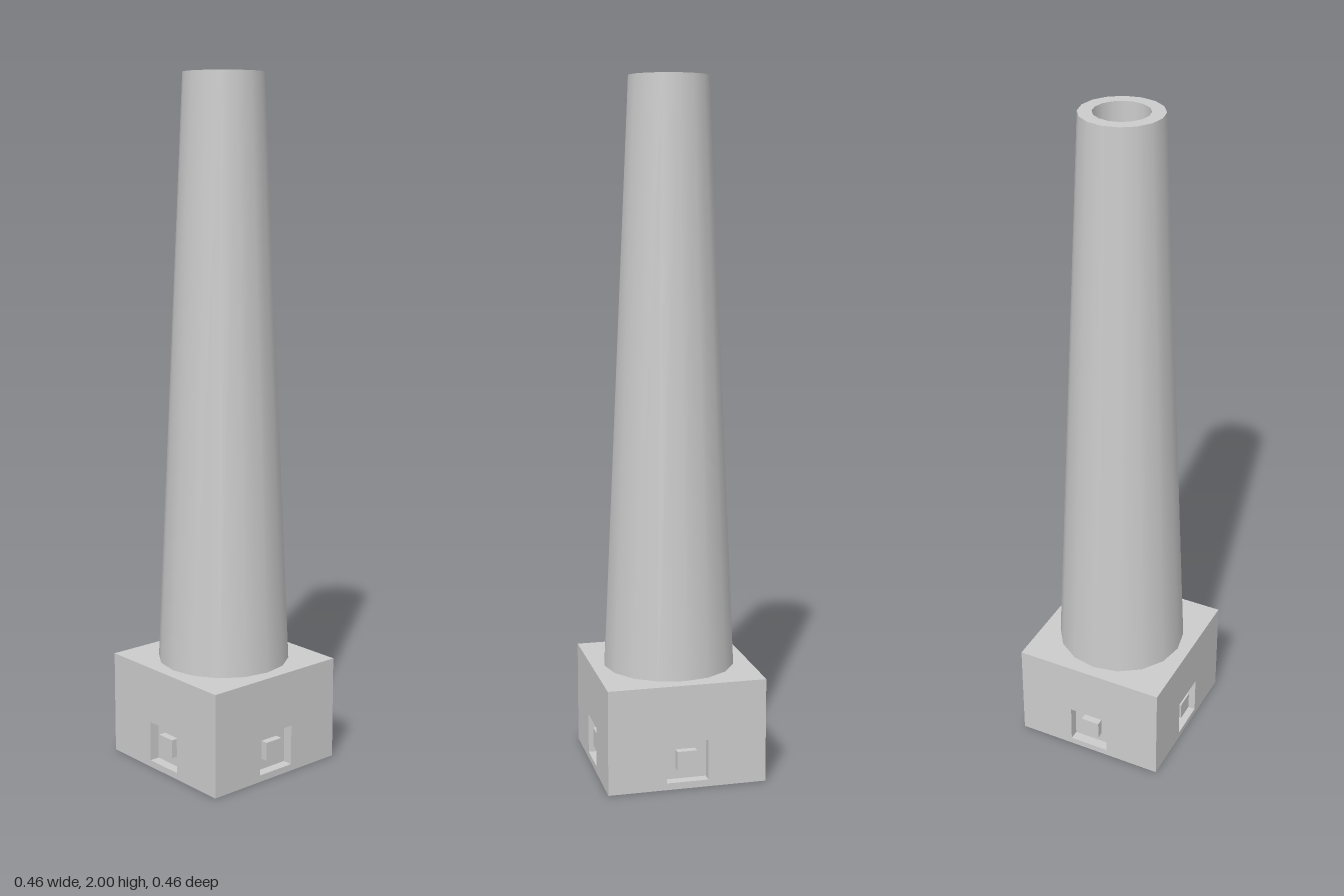
import * as THREE from 'three';

const SIDES = 16;
const BASE = 0.462, BASE_H = 0.305, RECESS = 0.03;
const TOP_R = 0.115, BOTTOM_R = 0.193, BORE_R = 0.077, BORE_DEPTH = 0.5;

export function createModel() {
  const model = new THREE.Group();
  model.name = 'chimney';
  const grey = new THREE.MeshStandardMaterial({ color: 0xcccccc });
  const inward = new THREE.MeshStandardMaterial({ color: 0xcccccc, side: THREE.BackSide });

  const add = (parent, name, geometry, material = grey) => {
    const mesh = new THREE.Mesh(geometry, material);
    mesh.name = name;
    parent.add(mesh);
    return mesh;
  };

  // Plinth core; its sides are the floors of the recesses
  const core = BASE - 2 * RECESS;
  add(model, 'plinthCore', new THREE.BoxGeometry(core, BASE_H, core)).position.y = BASE_H / 2;

  // Four plinth walls, each with a square recess and a small block in it
  for (let i = 0; i < 4; i++) {
    const side = new THREE.Group();
    side.name = 'plinthSide';
    side.rotation.y = i * Math.PI / 2;
    const w = (i % 2 ? core : BASE) / 2;
    const wall = new THREE.Shape([[-w, 0], [w, 0], [w, BASE_H], [-w, BASE_H]]
      .map(([x, y]) => new THREE.Vector2(x, y)));
    wall.holes.push(new THREE.Path([[-0.061, 0.02], [-0.061, 0.139], [0.061, 0.139], [0.061, 0.02]]
      .map(([x, y]) => new THREE.Vector2(x, y))));
    add(side, 'plinthWall', new THREE.ExtrudeGeometry(wall, { depth: RECESS, bevelEnabled: false }))
      .position.z = core / 2;
    add(side, 'recessBlock', new THREE.BoxGeometry(0.058, 0.055, 0.022))
      .position.set(0, 0.08, core / 2 + 0.011);
    model.add(side);
  }

  // Tapered shaft
  add(model, 'shaft', new THREE.CylinderGeometry(TOP_R, BOTTOM_R, 2 - BASE_H, SIDES, 1, true))
    .position.y = (2 + BASE_H) / 2;

  // Flat rim and the bore inside it
  const rim = add(model, 'rim', new THREE.RingGeometry(BORE_R, TOP_R, SIDES));
  rim.rotation.x = -Math.PI / 2;
  rim.position.y = 2;
  add(model, 'bore', new THREE.CylinderGeometry(BORE_R, BORE_R, BORE_DEPTH, SIDES, 1, true), inward)
    .position.y = 2 - BORE_DEPTH / 2;
  const floor = add(model, 'boreFloor', new THREE.CircleGeometry(BORE_R, SIDES));
  floor.rotation.x = -Math.PI / 2;
  floor.position.y = 2 - BORE_DEPTH;

  return model;
}
